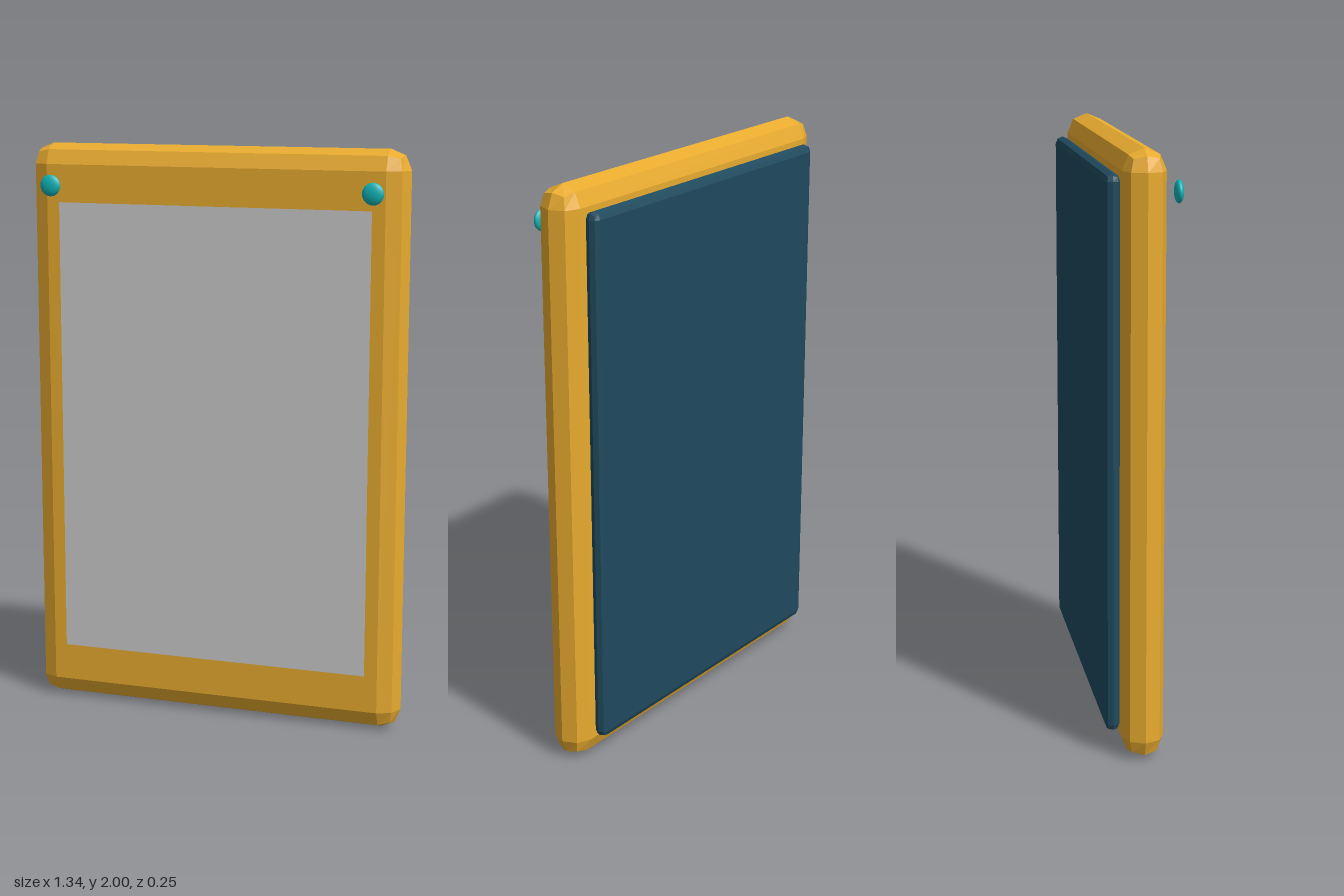
import * as THREE from 'three';
import { RoundedBoxGeometry } from 'three/addons/geometries/RoundedBoxGeometry.js';

export function createModel() {
  const model = new THREE.Group();

  function add(name, geometry, color, x, y, z, flatShading = true) {
    const material = new THREE.MeshStandardMaterial({ color, flatShading });
    const mesh = new THREE.Mesh(geometry, material);
    mesh.name = name;
    mesh.position.set(x, y, z);
    model.add(mesh);
    return mesh;
  }

  // Chamfered slab body
  add('body', new RoundedBoxGeometry(1.34, 2, 0.14, 1, 0.07), 0xe8ab2f, 0, 1, -0.006);

  // Thin chamfered panel on the back
  add('backPanel', new RoundedBoxGeometry(1.18, 1.84, 0.05, 1, 0.025), 0x1f4a5e, 0, 1, -0.1);

  // Flat screen just proud of the front face
  add('screen', new THREE.PlaneGeometry(1.11, 1.6), 0xcccccc, 0, 1, 0.066);

  // Flattened round studs floating before the upper corners
  for (const side of [-1, 1]) {
    const name = side > 0 ? 'leftStud' : 'rightStud';
    const stud = add(name, new THREE.SphereGeometry(0.037, 16, 12), 0x12b5b8, side * 0.568, 1.86, 0.109, false);
    stud.scale.z = 0.4;
  }

  return model;
}
